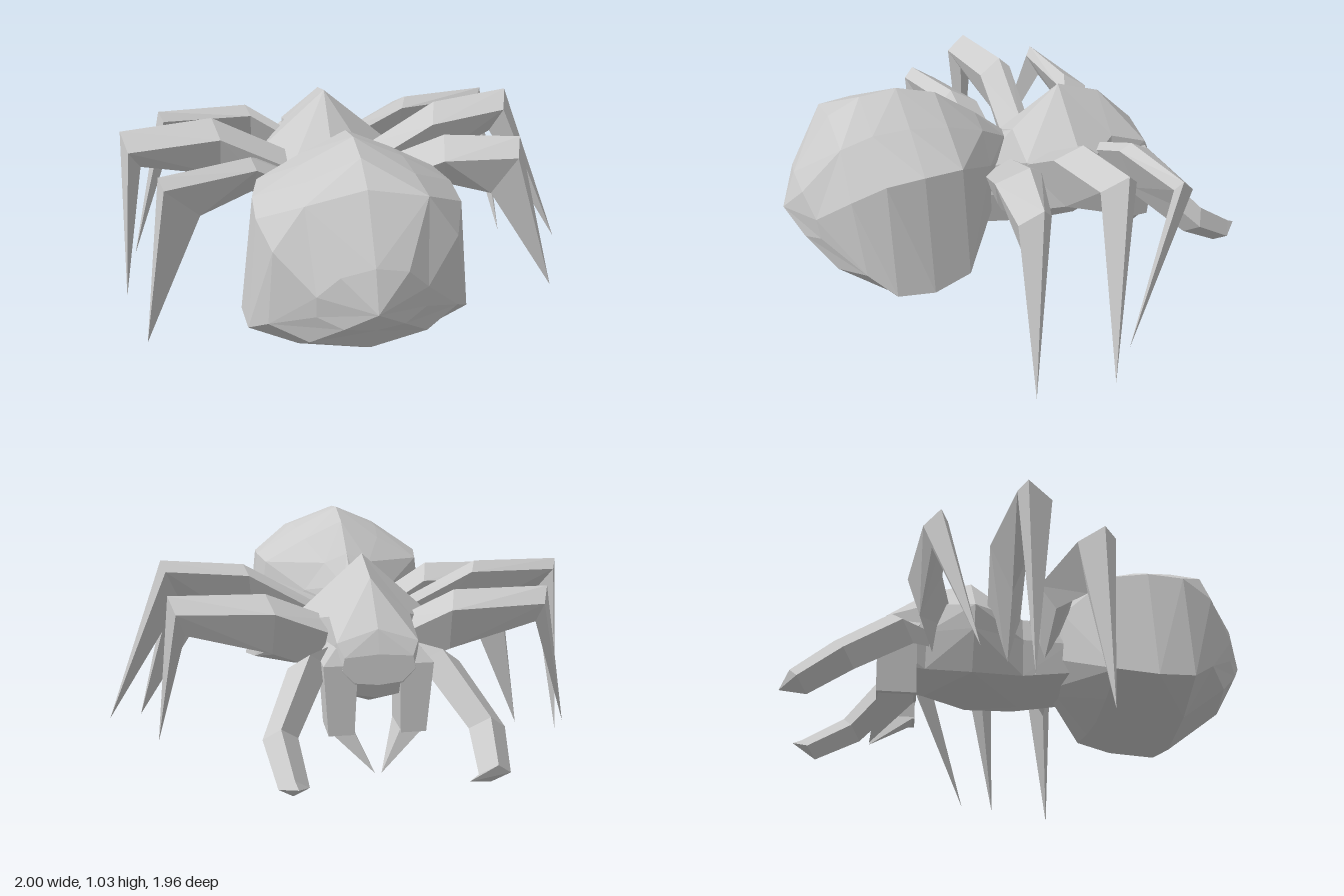
import * as THREE from 'three';

const material = new THREE.MeshStandardMaterial({ color: 0xcccccc, flatShading: true, side: THREE.DoubleSide });

// Skin a list of rings (equal point counts; a one-point ring is a tip) into a closed faceted mesh.
function loft(name, rings) {
  const n = Math.max(...rings.map((r) => r.length));
  const at = (i, j) => rings[i][rings[i].length === 1 ? 0 : j % n];
  const tris = [];
  const add = (a, b, c) => { if (a !== b && b !== c && a !== c) tris.push([a, b, c]); };
  const vec = (p) => new THREE.Vector3(...p);
  const middle = (points) => points.reduce((sum, p) => sum.add(vec(p)), new THREE.Vector3()).divideScalar(points.length);
  // Split each quad along its outer diagonal, so the skin bulges.
  for (let i = 0; i < rings.length - 1; i++) {
    const centre = middle([middle(rings[i]).toArray(), middle(rings[i + 1]).toArray()]);
    for (let j = 0; j < n; j++) {
      const [a, b, c, d] = [at(i, j), at(i + 1, j), at(i + 1, j + 1), at(i, j + 1)];
      if (middle([a, c]).distanceTo(centre) > middle([b, d]).distanceTo(centre)) {
        add(a, b, c);
        add(a, c, d);
      } else {
        add(a, b, d);
        add(b, c, d);
      }
    }
  }
  const last = rings.length - 1;
  for (let j = 1; j < n - 1; j++) {
    add(at(0, 0), at(0, j), at(0, j + 1));
    add(at(last, 0), at(last, j + 1), at(last, j));
  }
  // Turn every face outward, judged by the signed volume.
  let volume = 0;
  const origin = vec(rings[0][0]);
  const rel = (p) => vec(p).sub(origin);
  for (const [a, b, c] of tris) volume += rel(a).dot(rel(b).cross(rel(c)));
  if (volume < 0) tris.forEach((t) => t.reverse());
  const geometry = new THREE.BufferGeometry();
  geometry.setAttribute('position', new THREE.Float32BufferAttribute(tris.flat(2), 3));
  geometry.computeVertexNormals();
  const mesh = new THREE.Mesh(geometry, material);
  mesh.name = name;
  return mesh;
}

// Symmetric ring at depth z: top height, right-hand points [x, y, own z if tilted], bottom height and depth.
function bodyRing(z, top, side, bottom, bottomZ = z) {
  return [
    [0, top, z], ...side.map(([x, y, pz = z]) => [x, y, pz]),
    [0, bottom, bottomZ], ...side.slice().reverse().map(([x, y, pz = z]) => [-x, y, pz]),
  ];
}

// Diamond-section leg: each node is [x, y, zHigh, zLow, drop, inset], ending in a pointed foot.
function leg(name, nodes, foot) {
  const s = Math.sign(foot[0]);
  const rings = nodes.map(([x, y, za, zb, drop, inset]) => [
    [x, y, za * 0.7 + zb * 0.3],
    [x - s * 0.03, y - 0.06, zb],
    [x - s * inset, y - drop, za * 0.4 + zb * 0.6],
    [x - s * 0.02, y - 0.04, za],
  ]);
  return loft(name, [...rings, [foot]]);
}

// Four-sided feeler swept along [x, y, z, radius] nodes to a point.
function feeler(name, nodes, tip) {
  const rings = nodes.map(([x, y, z, r]) => [
    [x + r, y, z], [x, y + r * 0.8, z - r * 0.6], [x - r, y, z], [x, y - r * 0.8, z + r * 0.6],
  ]);
  return loft(name, [...rings, [tip]]);
}

export function createModel() {
  const model = new THREE.Group();
  model.name = 'spider';

  const body = new THREE.Group();
  body.name = 'body';
  body.position.x = -0.063;
  model.add(body);

  // Bulbous abdomen, from narrow neck to rear point
  body.add(loft('abdomen', [
    bodyRing(0.03, 0.78, [[0.03, 0.76], [0.06, 0.68], [0.07, 0.56], [0.03, 0.52]], 0.51),
    bodyRing(0.15, 0.88, [[0.1, 0.84], [0.19, 0.72], [0.19, 0.5], [0.09, 0.43]], 0.42),
    bodyRing(0.32, 1.0, [[0.17, 0.92], [0.35, 0.82], [0.41, 0.37], [0.2, 0.33]], 0.31),
    bodyRing(0.48, 1.045, [[0.19, 0.95], [0.38, 0.83], [0.445, 0.34], [0.22, 0.28]], 0.25),
    bodyRing(0.63, 1.03, [[0.2, 0.95], [0.38, 0.82], [0.43, 0.35], [0.24, 0.25]], 0.2),
    bodyRing(0.76, 0.97, [[0.22, 0.925], [0.335, 0.755], [0.36, 0.43, 0.73], [0.22, 0.395, 0.82]], 0.375, 0.86),
    bodyRing(0.92, 0.75, [[0.12, 0.72, 0.91], [0.2, 0.63, 0.88], [0.2, 0.54, 0.87], [0.11, 0.51, 0.92]], 0.5, 0.93),
    [[0, 0.6, 0.98]],
  ]));

  // Ridged head and thorax with a narrow waist
  body.add(loft('cephalothorax', [
    bodyRing(-0.62, 0.64, [[0.13, 0.63], [0.14, 0.58], [0.09, 0.53]], 0.52),
    bodyRing(-0.59, 0.73, [[0.155, 0.68], [0.16, 0.57], [0.12, 0.48]], 0.46),
    bodyRing(-0.42, 0.89, [[0.16, 0.74], [0.18, 0.6], [0.14, 0.45]], 0.39),
    bodyRing(-0.23, 0.95, [[0.3, 0.68], [0.28, 0.58], [0.2, 0.42]], 0.38),
    bodyRing(-0.02, 0.77, [[0.17, 0.69], [0.2, 0.58], [0.19, 0.42]], 0.36),
    bodyRing(0.18, 0.74, [[0.14, 0.7], [0.19, 0.58], [0.18, 0.45]], 0.42),
  ]));

  // Jaws: an upright block each side with a fang pointing to the middle
  for (const s of [1, -1]) {
    const block = (y, x0, x1, z0, z1) => [[s * x0, y, z0], [s * x1, y, z0], [s * x1, y, z1], [s * x0, y, z1]];
    const side = s > 0 ? 'left' : 'right';
    body.add(loft(side + 'Jaw', [
      block(0.66, 0.06, 0.16, -0.44, -0.59),
      block(0.6, 0.08, 0.21, -0.46, -0.62),
      block(0.32, 0.09, 0.19, -0.45, -0.61),
    ]));
    body.add(loft(side + 'Fang', [
      block(0.33, 0.09, 0.18, -0.45, -0.6),
      [[s * 0.012, 0.165, -0.63]],
    ]));
  }

  // Feelers reaching forward and down
  model.add(feeler('leftFeeler',
    [[0.06, 0.6, -0.42, 0.06], [0.19, 0.57, -0.52, 0.08], [0.32, 0.37, -0.73, 0.065], [0.29, 0.255, -0.91, 0.055]],
    [0.28, 0.28, -0.98]));
  model.add(feeler('rightFeeler',
    [[-0.2, 0.6, -0.42, 0.06], [-0.32, 0.57, -0.52, 0.08], [-0.455, 0.37, -0.73, 0.07], [-0.44, 0.255, -0.89, 0.06]],
    [-0.32, 0.27, -0.975]));

  // Three walking legs on each side: root, thigh, knee, foot
  model.add(leg('leftFrontLeg', [
    [0.04, 0.7, -0.3, -0.42, 0.22, 0], [0.34, 0.83, -0.34, -0.48, 0.23, 0.02], [0.71, 0.84, -0.38, -0.47, 0.15, 0.06],
  ], [0.785, 0.17, -0.19]));
  model.add(leg('leftMiddleLeg', [
    [0.1, 0.72, -0.16, -0.02, 0.28, 0], [0.41, 0.9, -0.18, -0.02, 0.29, 0.04], [0.74, 0.93, -0.2, -0.06, 0.18, 0.07],
  ], [0.995, 0.22, -0.02]));
  model.add(leg('leftBackLeg', [
    [0.06, 0.7, -0.01, 0.16, 0.24, 0], [0.4, 0.84, 0.03, 0.22, 0.2, 0], [0.71, 0.84, 0.12, 0.245, 0.24, 0.12],
  ], [0.885, 0.135, 0.25]));
  model.add(leg('rightFrontLeg', [
    [-0.18, 0.7, -0.3, -0.42, 0.22, 0], [-0.4, 0.83, -0.37, -0.51, 0.23, 0.02], [-0.79, 0.83, -0.37, -0.46, 0.14, 0.05],
  ], [-0.955, 0.19, -0.255]));
  model.add(leg('rightMiddleLeg', [
    [-0.24, 0.72, -0.17, -0.03, 0.28, 0], [-0.56, 0.89, -0.19, -0.04, 0.25, 0.02], [-0.94, 0.88, -0.13, 0, 0.15, 0.07],
  ], [-1, 0.07, -0.08]));
  model.add(leg('rightBackLeg', [
    [-0.2, 0.7, 0.16, 0.0, 0.24, 0], [-0.42, 0.83, 0.19, 0.03, 0.18, 0], [-0.79, 0.81, 0.265, 0.12, 0.21, 0.15],
  ], [-0.91, 0.01, 0.2]));

  return model;
}
